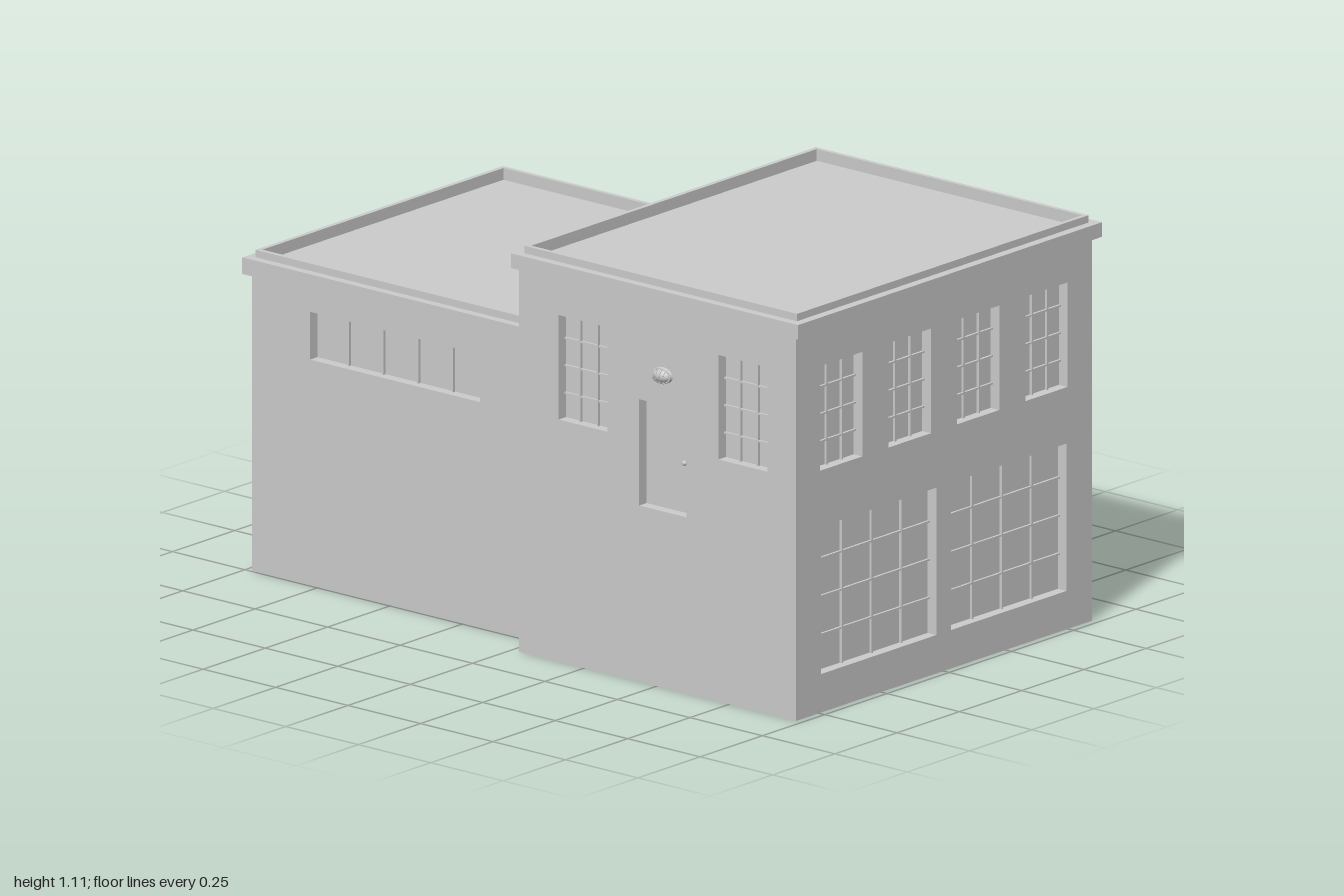
import * as THREE from 'three';

const grey = new THREE.MeshStandardMaterial({ color: 0xcccccc, flatShading: true, side: THREE.DoubleSide });
const smooth = new THREE.MeshStandardMaterial({ color: 0xcccccc });

function add(parent, name, geometry, x = 0, y = 0, z = 0, material = grey) {
  const mesh = new THREE.Mesh(geometry, material);
  mesh.name = name;
  mesh.position.set(x, y, z);
  parent.add(mesh);
  return mesh;
}

function rect(Type, x0, y0, x1, y1) {
  const s = new Type();
  s.moveTo(x0, y0);
  s.lineTo(x1, y0);
  s.lineTo(x1, y1);
  s.lineTo(x0, y1);
  s.closePath();
  return s;
}

// Rectangular ring, extruded along +z
function ring(x0, y0, x1, y1, t, depth) {
  const s = rect(THREE.Shape, x0, y0, x1, y1);
  s.holes.push(rect(THREE.Path, x0 + t, y0 + t, x1 - t, y1 - t));
  return new THREE.ExtrudeGeometry(s, { depth, bevelEnabled: false });
}

// Recessed opening in a wall: reveal, pane and filling
function opening(wall, o) {
  const { u, y0, y1, w, name, cols = 0, rows = 0 } = o;
  const depth = o.depth ?? 0.03, h = y1 - y0, cy = (y0 + y1) / 2;
  const g = new THREE.Group();
  g.name = name;
  g.position.set(u, cy, 0);
  wall.add(g);
  add(g, 'reveal', ring(-w / 2, -h / 2, w / 2, h / 2, 0.007, depth), 0, 0, -depth);

  if (name === 'garageDoor') {
    // Overlapping tilted slats
    const n = 8, step = h / n;
    for (let i = 0; i < n; i++) {
      const slat = add(g, 'slat', new THREE.BoxGeometry(w - 0.014, step * 1.02, 0.006), 0, -h / 2 + (i + 0.5) * step, -depth + 0.012);
      slat.rotation.x = -0.25;
    }
    return;
  }
  add(g, 'pane', new THREE.PlaneGeometry(w, h), 0, 0, -depth);
  if (name === 'door') {
    add(g, 'doorLeaf', new THREE.BoxGeometry(w - 0.03, h - 0.03, 0.008), 0, 0, -depth + 0.004);
    add(g, 'doorKnob', new THREE.SphereGeometry(0.007, 10, 8), w / 2 - 0.028, -0.005, -depth + 0.014, smooth);
  }
  // Glazing bars
  for (let i = 1; i < cols; i++)
    add(g, 'verticalBar', new THREE.BoxGeometry(0.005, h - 0.01, 0.008), -w / 2 + (i * w) / cols, 0, -depth + 0.004);
  for (let j = 1; j < rows; j++)
    add(g, 'horizontalBar', new THREE.BoxGeometry(w - 0.01, 0.005, 0.007), 0, -h / 2 + (j * h) / rows, -depth + 0.004);
}

// Flat wall facing local +z, spanning u0..u1, with holes for its openings
function wall(parent, name, u0, u1, h, offset, turn, openings) {
  const g = new THREE.Group();
  g.name = name;
  g.rotation.y = turn;
  g.position.set(Math.sin(turn) * offset, 0, Math.cos(turn) * offset);
  parent.add(g);
  const s = rect(THREE.Shape, u0, 0, u1, h);
  for (const o of openings) {
    s.holes.push(rect(THREE.Path, o.u - o.w / 2, o.y0, o.u + o.w / 2, o.y1));
    opening(g, o);
  }
  add(g, 'wallFace', new THREE.ShapeGeometry(s));
  return g;
}

// Cornice band, thin coping and sunken roof
function roof(parent, x0, x1, z0, z1, y, band) {
  const g = new THREE.Group();
  g.name = 'roof';
  parent.add(g);
  const flat = (name, inset, t, base, height) => {
    const geo = ring(x0 + inset, -z1 + inset, x1 - inset, -z0 - inset, t, height);
    geo.rotateX(-Math.PI / 2);
    add(g, name, geo, 0, base, 0);
  };
  flat('cornice', 0, 0.038, y, band);
  flat('coping', 0.025, 0.013, y + band, 0.02);
  const deck = new THREE.PlaneGeometry(x1 - x0 - 0.07, z1 - z0 - 0.07).rotateX(-Math.PI / 2);
  add(g, 'roofDeck', deck, (x0 + x1) / 2, y + band - 0.012, (z0 + z1) / 2);
}

// Caged oval wall lamp
function lamp(parent, u, y) {
  const g = new THREE.Group();
  g.name = 'wallLamp';
  g.position.set(u, y, 0);
  parent.add(g);
  const base = add(g, 'lampBase', new THREE.CylinderGeometry(0.02, 0.022, 0.008, 20).rotateX(Math.PI / 2), 0, 0, 0.004);
  base.scale.x = 1.5;
  const bulb = add(g, 'lampGlass', new THREE.SphereGeometry(1, 20, 12), 0, 0, 0.005, smooth);
  bulb.scale.set(0.029, 0.018, 0.016);
  for (const x of [-0.018, -0.006, 0.006, 0.018]) {
    const k = Math.sqrt(1 - (x / 0.032) ** 2);
    const bar = add(g, 'cageHoop', new THREE.TorusGeometry(1, 0.08, 6, 16, Math.PI), x, 0, 0.005, smooth);
    bar.rotation.set(0, Math.PI / 2, Math.PI / 2, 'YXZ');
    bar.rotation.set(Math.PI / 2, 0, 0);
    bar.geometry.rotateY(Math.PI / 2).rotateX(Math.PI / 2);
    bar.geometry.rotateX(-Math.PI / 2);
    bar.scale.set(0.02, 0.02 * k, 0.02 * k);
  }
  const hoop = add(g, 'cageRim', new THREE.TorusGeometry(0.02, 0.002, 6, 24), 0, 0, 0.009, smooth);
  hoop.scale.x = 1.5;
}

export function createModel() {
  const model = new THREE.Group();
  model.name = 'building';
  const H = Math.PI / 2;
  const sash = (u) => ({ name: 'sashWindow', u, w: 0.183, y0: 0.655, y1: 0.955, cols: 3, rows: 4 });
  const strip = (u, w, y0, y1) => ({ name: 'stripWindow', u, w, y0, y1, cols: 5 });
  const door = (u, y0) => ({ name: 'door', u, w: 0.178, y0, y1: y0 + 0.305 });

  // Tall block
  const tall = new THREE.Group();
  tall.name = 'tallBlock';
  model.add(tall);
  const tallFront = wall(tall, 'frontWall', 0.025, 0.98, 1.06, 0.592, 0, [sash(0.246), sash(0.797), door(0.521, 0.475)]);
  lamp(tallFront, 0.522, 0.855);
  wall(tall, 'rightWall', -0.592, 0.597, 1.06, 0.98, H, [
    ...[-0.41, -0.135, 0.14, 0.414].map(sash),
    ...[-0.26, 0.263].map((u) => ({ name: 'shopWindow', u, w: 0.478, y0: 0.098, y1: 0.515, cols: 4, rows: 4 })),
  ]);
  wall(tall, 'backWall', -0.98, -0.025, 1.06, 0.597, Math.PI, [...[-0.797, -0.522, -0.246].map(sash), door(-0.222, 0.095)]);
  wall(tall, 'leftWall', -0.597, 0.592, 1.06, -0.025, -H, [strip(-0.28, 0.475, 0.895, 1.03), strip(0.245, 0.475, 0.895, 1.03)]);
  roof(tall, 0.01, 1, -0.614, 0.607, 1.05, 0.04);

  // Low block
  const low = new THREE.Group();
  low.name = 'lowBlock';
  model.add(low);
  wall(low, 'frontWall', -0.98, 0.025, 0.82, 0.495, 0, [strip(-0.487, 0.6, 0.61, 0.755)]);
  wall(low, 'backWall', -0.025, 0.98, 0.82, 0.515, Math.PI, [strip(0.487, 0.6, 0.61, 0.755)]);
  const side = wall(low, 'leftWall', -0.515, 0.495, 0.82, 0.98, -H, [
    { name: 'garageDoor', u: -0.012, w: 0.45, y0: 0.105, y1: 0.485, depth: 0.04 },
  ]);
  lamp(side, -0.01, 0.53);
  roof(low, -1, 0.024, -0.532, 0.512, 0.812, 0.045);
  return model;
}
